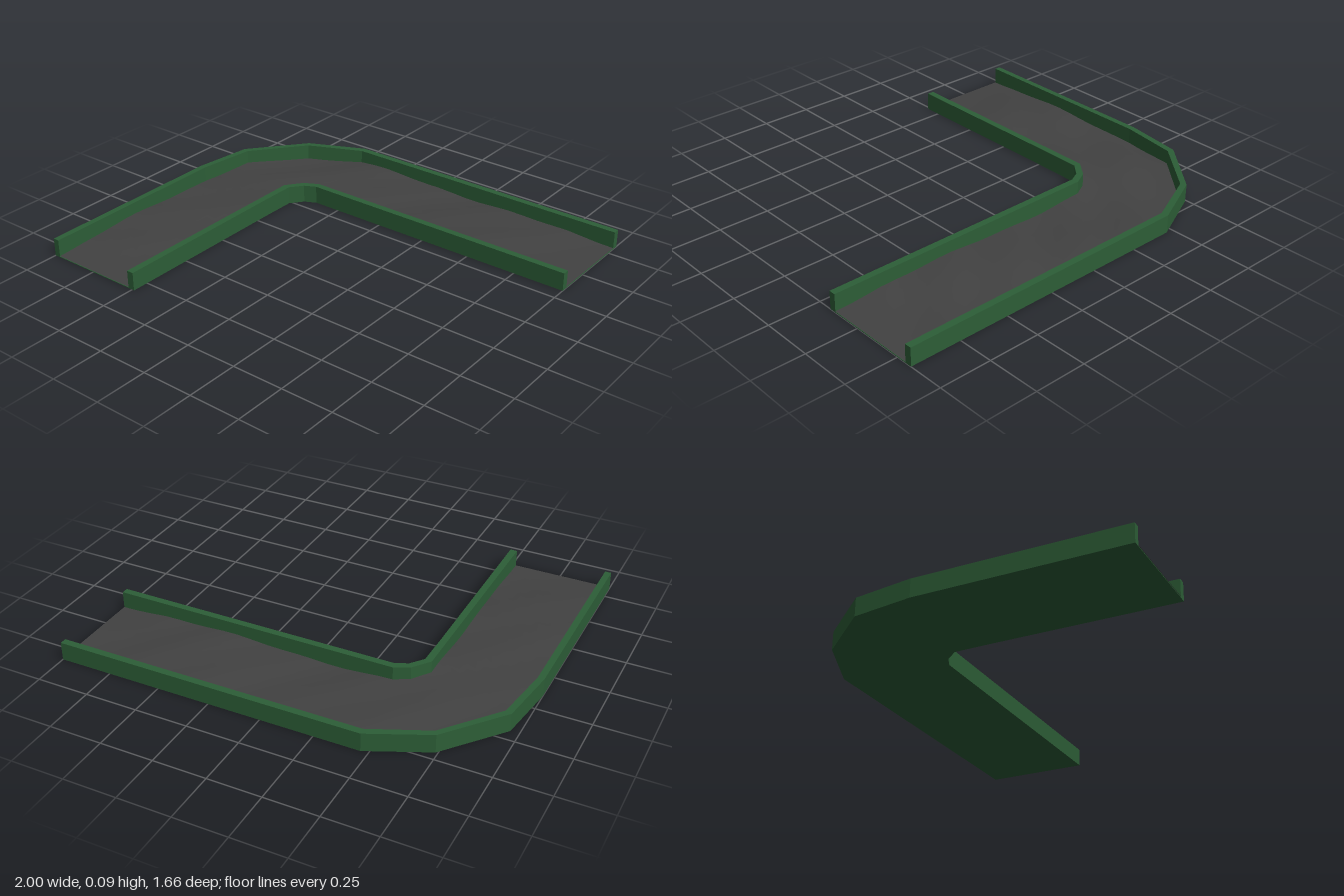
import * as THREE from 'three';

// Plan points are [x, z], listed from the front end, round the bend, to the +x end
const OUTER_EDGE = [[-1, 0.83], [-1, -0.15], [-0.96, -0.44], [-0.74, -0.705], [-0.465, -0.83], [1, -0.83]];
const OUTER_ROAD = [[-0.97, 0.83], [-0.97, -0.15], [-0.93, -0.43], [-0.725, -0.68], [-0.46, -0.797], [1, -0.797]];
const INNER_ROAD = [[-0.522, 0.83], [-0.522, -0.12], [-0.522, -0.24], [-0.46, -0.32], [-0.39, -0.355], [1, -0.355]];
const INNER_EDGE = [[-0.488, 0.83], [-0.49, -0.07], [-0.488, -0.235], [-0.44, -0.295], [-0.385, -0.322], [1, -0.322]];

// Upright slab between two plan lines
function slab(name, a, b, height, material) {
  const outline = [...a, ...[...b].reverse()].map(([x, z]) => new THREE.Vector2(x, -z));
  const geometry = new THREE.ExtrudeGeometry(new THREE.Shape(outline), { depth: height, bevelEnabled: false });
  geometry.rotateX(-Math.PI / 2);
  const mesh = new THREE.Mesh(geometry, material);
  mesh.name = name;
  return mesh;
}

// Uneven road height, settling to the floor at both ends
function roadHeight(x, z) {
  const fromEnd = Math.min(0.83 - z, 1 - x);
  const fade = THREE.MathUtils.smoothstep(fromEnd, 0, 0.3);
  const bumps = Math.sin(x * 7.3 + z * 3.1) + Math.sin(z * 8.7 - x * 4.3 + 1.2) + 0.6 * Math.sin(x * 17 + z * 15);
  return 0.006 + fade * (0.015 + 0.005 * bumps);
}

// Bumpy surface swept between the two walls
function roadGeometry() {
  const across = 8;
  const steps = [14, 4, 4, 4, 18];
  const positions = [];
  const index = [];
  const addRow = (s, t) => {
    const mix = (line, k) => THREE.MathUtils.lerp(line[s][k], line[s + 1][k], t);
    for (let i = 0; i <= across; i++) {
      const u = i / across;
      const x = THREE.MathUtils.lerp(mix(OUTER_ROAD, 0), mix(INNER_ROAD, 0), u);
      const z = THREE.MathUtils.lerp(mix(OUTER_ROAD, 1), mix(INNER_ROAD, 1), u);
      positions.push(x, roadHeight(x, z), z);
    }
  };
  steps.forEach((n, s) => {
    for (let j = 0; j < n; j++) addRow(s, j / n);
  });
  addRow(steps.length - 1, 1);

  const row = across + 1;
  const rows = positions.length / 3 / row;
  for (let j = 0; j < rows - 1; j++) {
    for (let i = 0; i < across; i++) {
      const a = j * row + i;
      index.push(a, a + 1, a + row, a + 1, a + row + 1, a + row);
    }
  }
  const geometry = new THREE.BufferGeometry();
  geometry.setAttribute('position', new THREE.Float32BufferAttribute(positions, 3));
  geometry.setIndex(index);
  geometry.computeVertexNormals();
  return geometry;
}

export function createModel() {
  const green = new THREE.MeshStandardMaterial({ color: 0x2d5e37 });
  green.name = 'wall green';
  const grey = new THREE.MeshStandardMaterial({ color: 0x424242, side: THREE.DoubleSide });
  grey.name = 'road grey';

  const group = new THREE.Group();
  group.name = 'cornerTrack';

  // Low walls and the thin floor between them
  group.add(slab('outerWall', OUTER_EDGE, OUTER_ROAD, 0.088, green));
  group.add(slab('innerWall', INNER_ROAD, INNER_EDGE, 0.088, green));
  group.add(slab('floor', OUTER_ROAD, INNER_ROAD, 0.003, green));

  const road = new THREE.Mesh(roadGeometry(), grey);
  road.name = 'roadSurface';
  group.add(road);
  return group;
}
